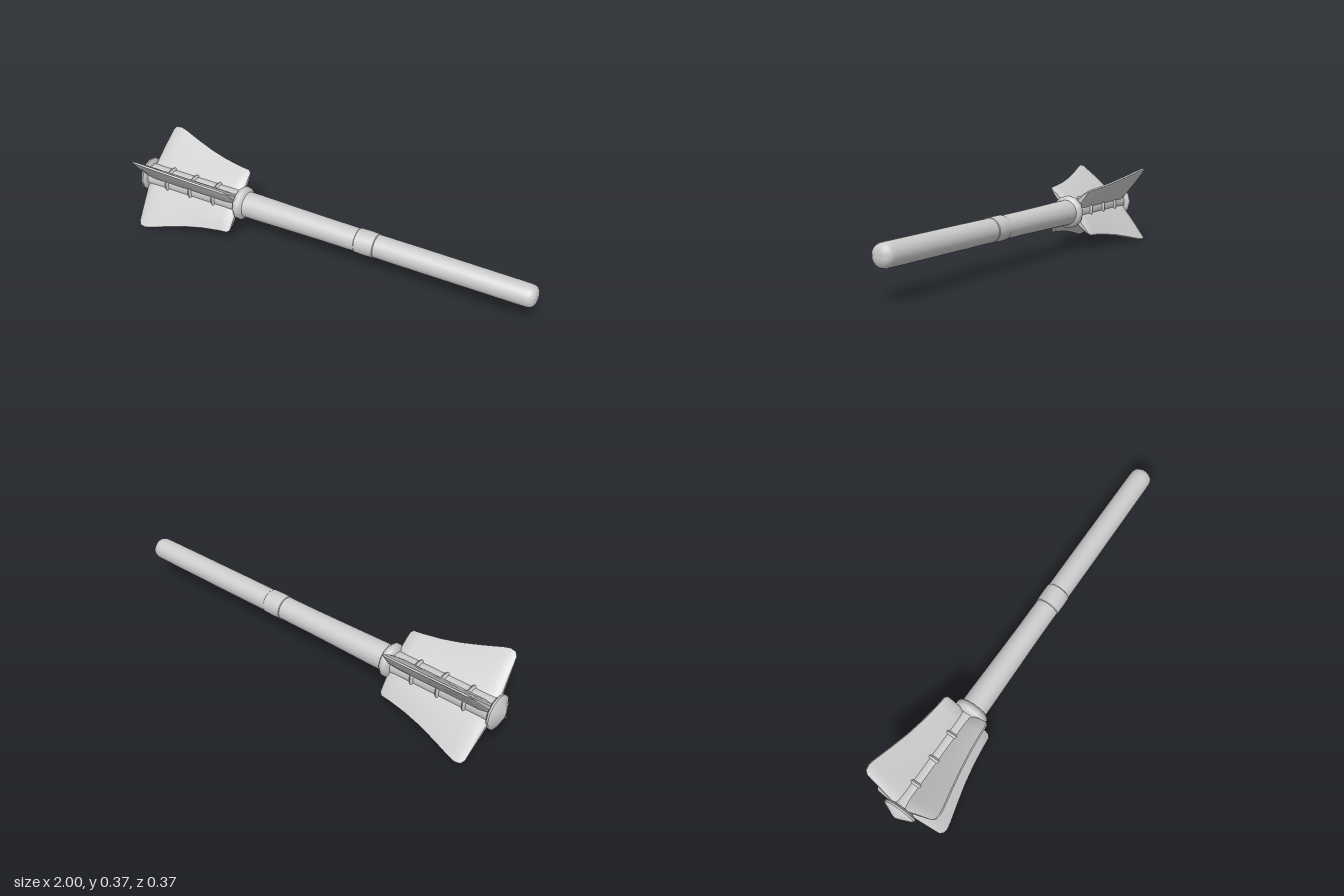
import * as THREE from 'three';
import { toCreasedNormals } from 'three/addons/utils/BufferGeometryUtils.js';

const AXIS_Y = 0.184;
const material = new THREE.MeshStandardMaterial({ color: 0xcccccc });

// Turned part along the x axis; profile is [x, radius] with x ascending.
function turned(name, profile, sides, crease = 0.6) {
  const geometry = new THREE.LatheGeometry(profile.map(([x, r]) => new THREE.Vector2(r, x)), sides);
  geometry.rotateZ(-Math.PI / 2);
  const mesh = new THREE.Mesh(toCreasedNormals(geometry, crease), material);
  mesh.name = name;
  return mesh;
}

// Blade lofted along x: each station is [root x, tip x, tip radius, thickness scale].
function flangeGeometry() {
  const stations = [
    [-0.955, -0.932, 0.236, 0.35], [-0.945, -0.92, 0.254, 0.8], [-0.91, -0.895, 0.259, 1],
    [-0.87, -0.865, 0.252, 1], [-0.78, -0.78, 0.223, 1], [-0.69, -0.69, 0.195, 1],
    [-0.6, -0.6, 0.174, 1], [-0.51, -0.51, 0.160, 1], [-0.47, -0.468, 0.156, 0.9],
    [-0.452, -0.456, 0.143, 0.45],
  ];
  const positions = [], index = [], n = 8;
  for (const [rootX, tipX, tip, s] of stations) {
    const side = [[0.02, 0.026], [0.075, 0.022], [0.075 + (tip - 0.075) * 0.55, 0.015], [tip, 0.004]];
    const loop = [...side, ...side.map(([r, t]) => [r, -t]).reverse()];
    for (const [r, t] of loop) {
      positions.push(THREE.MathUtils.lerp(rootX, tipX, (r - 0.02) / (tip - 0.02)), r, t * s);
    }
  }
  const last = (stations.length - 1) * n;
  for (let row = 0; row < last; row += n) {
    for (let j = 0; j < n; j++) {
      const a = row + j, b = row + (j + 1) % n;
      index.push(a, a + n, b + n, a, b + n, b);
    }
  }
  // End faces, as strips between the two sides
  for (let j = 0; j < n / 2 - 1; j++) {
    const a = j, b = j + 1, c = n - 2 - j, d = n - 1 - j;
    index.push(a, b, c, a, c, d, last + a, last + c, last + b, last + a, last + d, last + c);
  }
  const geometry = new THREE.BufferGeometry();
  geometry.setAttribute('position', new THREE.Float32BufferAttribute(positions, 3));
  geometry.setIndex(index);
  return toCreasedNormals(geometry, 0.7);
}

export function createModel() {
  const model = new THREE.Group();
  model.name = 'flangedMace';
  model.position.y = AXIS_Y;

  // Handle with a rounded butt
  model.add(turned('shaft', [
    [-0.43, 0.061], [-0.36, 0.061], [-0.2, 0.058], [0, 0.055], [0.2, 0.054], [0.45, 0.054],
    [0.7, 0.053], [0.94, 0.052], [0.97, 0.051], [0.985, 0.046], [0.995, 0.034], [1, 0.018], [1, 0],
  ], 24, 0.9));
  model.add(turned('gripBand', [
    [0.16, 0.052], [0.165, 0.057], [0.21, 0.058], [0.255, 0.057], [0.26, 0.052],
  ], 24));

  // Collar below the head
  model.add(turned('collar', [
    [-0.465, 0.05], [-0.457, 0.07], [-0.445, 0.08], [-0.43, 0.08], [-0.418, 0.072], [-0.41, 0.058],
  ], 12, 0.9));

  // Head core, binding rings and pointed cap
  model.add(turned('headCore', [[-0.96, 0.054], [-0.44, 0.054]], 24));
  for (const x of [-0.835, -0.705, -0.575]) {
    model.add(turned('headRing', [
      [x - 0.01, 0.05], [x - 0.007, 0.06], [x, 0.064], [x + 0.007, 0.06], [x + 0.01, 0.05],
    ], 24, 0.9));
  }
  model.add(turned('endCap', [
    [-1, 0], [-0.995, 0.018], [-0.973, 0.072], [-0.966, 0.08], [-0.958, 0.08], [-0.95, 0.07], [-0.947, 0.05],
  ], 12, 0.7));

  // Four diagonal flanges
  const blade = flangeGeometry();
  for (let i = 0; i < 4; i++) {
    const flange = new THREE.Mesh(blade, material);
    flange.name = 'flange';
    flange.rotation.x = Math.PI / 4 + i * Math.PI / 2;
    model.add(flange);
  }

  const root = new THREE.Group();
  root.name = 'mace';
  root.add(model);
  return root;
}
